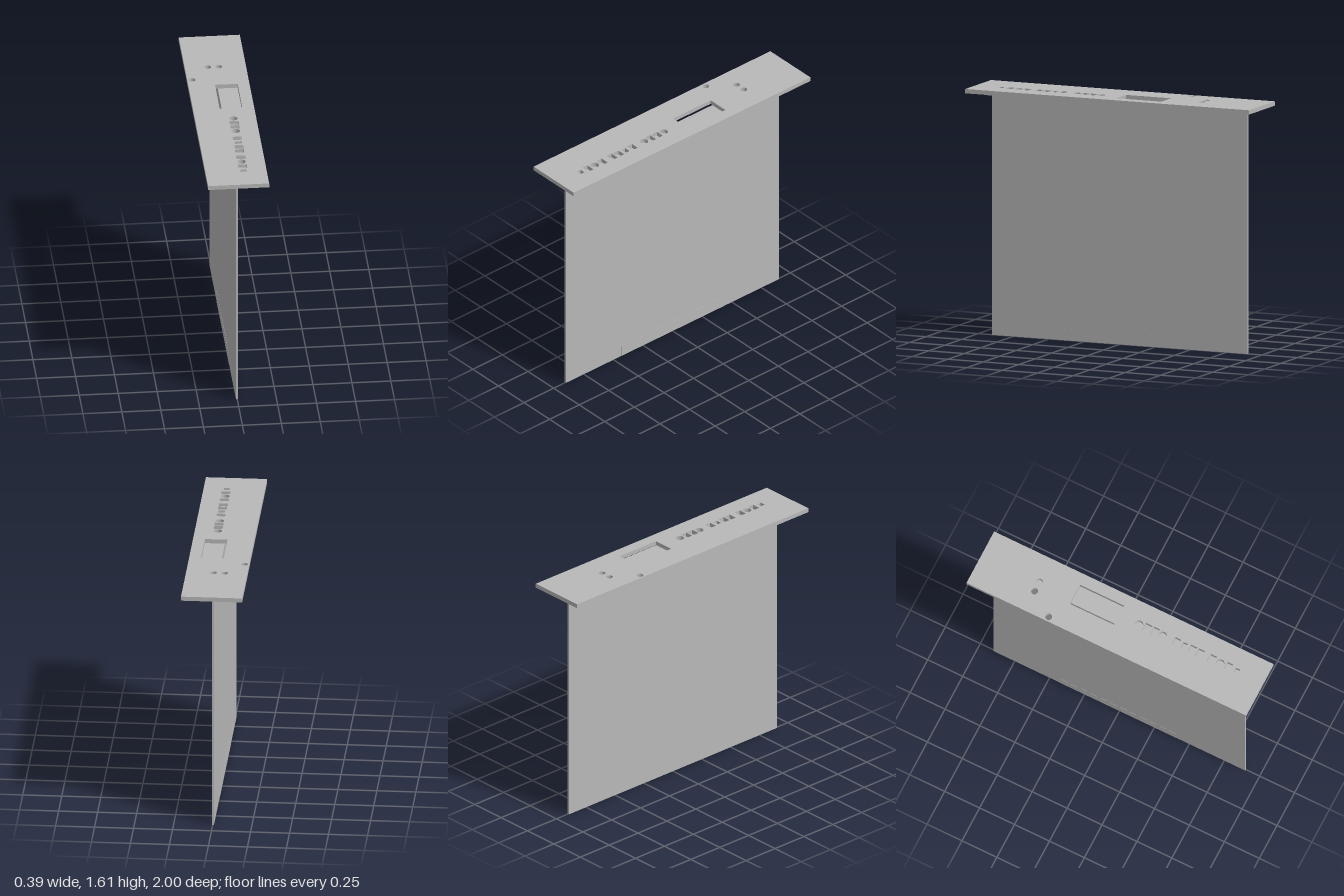
import * as THREE from 'three';

const metal = new THREE.MeshStandardMaterial({ color: 0xb8b8b8 });
metal.name = 'plain grey';

// Box given by its limits on each axis
function block(name, [x0, x1], [y0, y1], [z0, z1]) {
  const mesh = new THREE.Mesh(new THREE.BoxGeometry(x1 - x0, y1 - y0, z1 - z0), metal);
  mesh.position.set((x0 + x1) / 2, (y0 + y1) / 2, (z0 + z1) / 2);
  mesh.name = name;
  return mesh;
}

// Outlines are drawn in plan, with shape y = -z
function rectangle(Type, x0, x1, z0, z1) {
  const path = new Type();
  path.moveTo(x0, -z1);
  path.lineTo(x1, -z1);
  path.lineTo(x1, -z0);
  path.lineTo(x0, -z0);
  path.closePath();
  return path;
}

function roundHole(x, z, r) {
  return new THREE.Path().absarc(x, -z, r, 0, Math.PI * 2, true);
}

export function createModel() {
  const model = new THREE.Group();
  model.name = 'panelAssembly';

  // Front panel with its cutouts
  const panel = rectangle(THREE.Shape, -0.196, 0.196, -1, 1);

  // Display window, then rectangular cutouts as [x0, x1, z0, z1]
  const slots = [
    [-0.025, 0.12, -0.347, -0.03],
    [0.021, 0.079, 0.146, 0.194],
    [0.021, 0.079, 0.204, 0.247],
    [0.021, 0.077, 0.357, 0.4],
    [0.029, 0.071, 0.42, 0.452],
    [0.021, 0.077, 0.471, 0.516],
    [0.019, 0.077, 0.526, 0.569],
    [0.019, 0.077, 0.611, 0.656],
    [0.019, 0.077, 0.73, 0.772],
    [0.029, 0.066, 0.796, 0.828],
  ];
  for (const slot of slots) panel.holes.push(rectangle(THREE.Path, ...slot));

  // Round cutouts as [x, z, radius]
  const rounds = [
    [-0.05, -0.587, 0.022],
    [0.021, -0.587, 0.022],
    [-0.165, -0.428, 0.022],
    [0.049, 0.112, 0.027],
    [0.049, 0.28, 0.027],
    [0.047, 0.693, 0.027],
  ];
  for (const round of rounds) panel.holes.push(roundHole(...round));

  const panelGeometry = new THREE.ExtrudeGeometry(panel, {
    depth: 0.028, bevelEnabled: false, curveSegments: 16,
  });
  panelGeometry.rotateX(-Math.PI / 2);
  const panelMesh = new THREE.Mesh(panelGeometry, metal);
  panelMesh.position.y = 1.585;
  panelMesh.name = 'topPanel';
  model.add(panelMesh);

  // Upright board, the strip under the panel and the connector tab at the foot
  model.add(block('uprightBoard', [-0.008, 0.006], [0, 1.585], [-0.9, 0.9]));
  model.add(block('mountingStrip', [0.006, 0.122], [1.57, 1.582], [-0.9, 0.9]));
  model.add(block('edgeTab', [-0.009, 0.007], [0, 0.075], [-0.43, 0.43]));

  return model;
}
